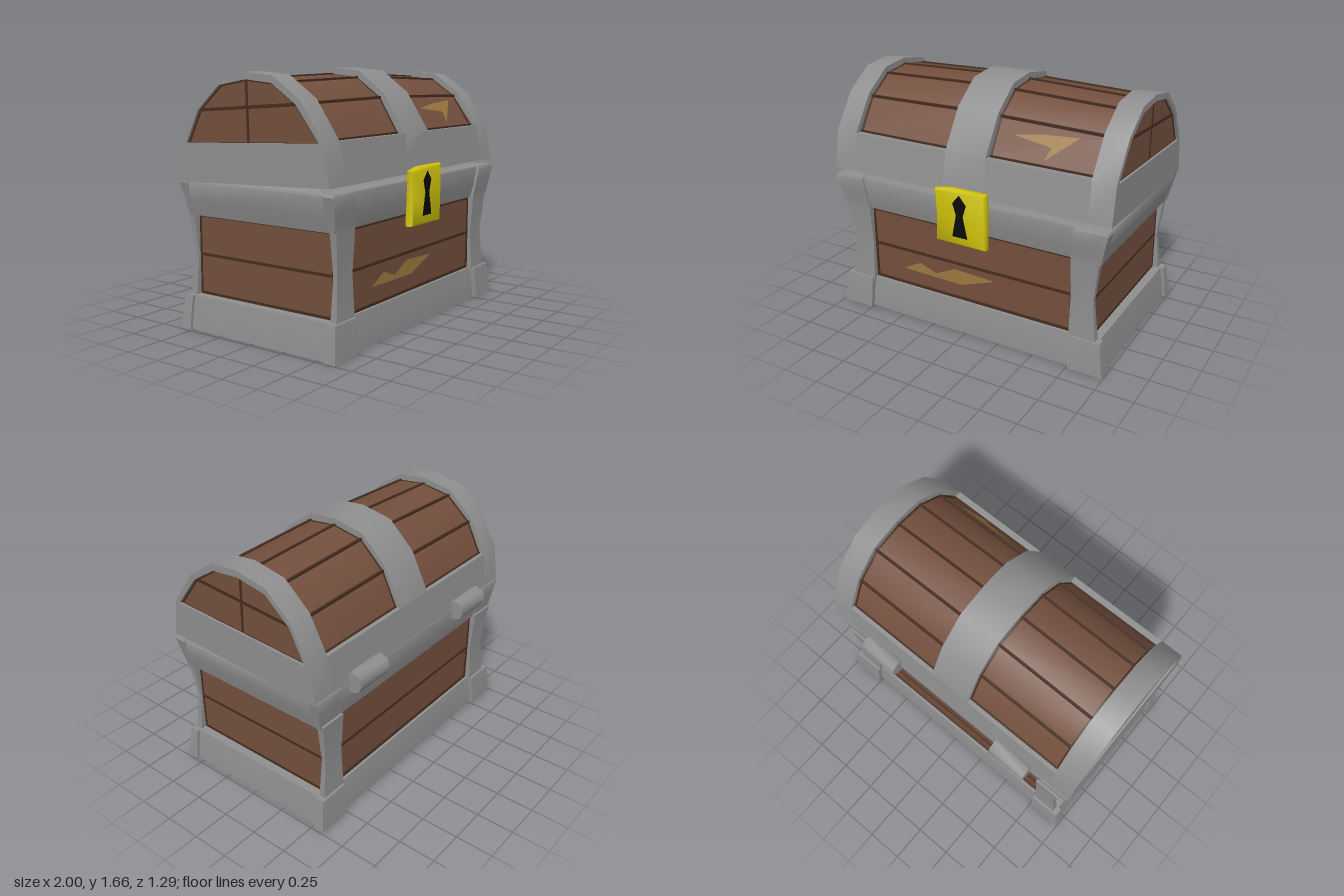
import * as THREE from 'three';
import { toCreasedNormals } from 'three/addons/utils/BufferGeometryUtils.js';

const mat = (color) => new THREE.MeshStandardMaterial({ color });

export function createModel() {
  const metal = mat(0x8e8e8e), wood = mat(0x734f3d), seam = mat(0x452c20);
  const gold = mat(0xd0c40c), black = mat(0x0a0a0a), scratch = mat(0x9c783f);
  const model = new THREE.Group();
  const base = new THREE.Group();
  base.name = 'base';
  base.position.z = 0.02;
  const lid = new THREE.Group();
  lid.name = 'lid';
  model.add(base, lid);

  const add = (parent, name, geo, material) => {
    const mesh = new THREE.Mesh(geo, material);
    mesh.name = name;
    parent.add(mesh);
    return mesh;
  };
  const box = (parent, name, material, size, pos) =>
    add(parent, name, new THREE.BoxGeometry(...size), material).position.set(...pos);

  // Stack of rectangles [y, x0, x1, z0, z1], bottom to top
  const loft = (rows) => {
    const pos = [], idx = [];
    for (const [y, x0, x1, z0, z1] of rows) pos.push(x0, y, z1, x1, y, z1, x1, y, z0, x0, y, z0);
    for (let r = 0; r < rows.length - 1; r++) {
      for (let k = 0; k < 4; k++) {
        const a = r * 4 + k, b = r * 4 + (k + 1) % 4;
        idx.push(a, b, b + 4, a, b + 4, a + 4);
      }
    }
    const t = (rows.length - 1) * 4;
    idx.push(0, 2, 1, 0, 3, 2, t, t + 1, t + 2, t, t + 2, t + 3);
    const g = new THREE.BufferGeometry();
    g.setAttribute('position', new THREE.Float32BufferAttribute(pos, 3));
    g.setIndex(idx);
    return toCreasedNormals(g, 0.7);
  };

  // ---- Base: wooden body, rails, inner lip ----
  const ring = (y, x, z) => [y, -x, x, -z, z];
  add(base, 'body', loft([ring(0.1, 0.88, 0.525), ring(0.85, 0.88, 0.535)]), wood);
  add(base, 'bottomRail', loft([ring(0, 0.97, 0.58), ring(0.1, 0.96, 0.575), ring(0.22, 0.94, 0.555)]), metal);
  add(base, 'topRail', loft([ring(0.74, 0.935, 0.55), ring(0.83, 0.96, 0.572), ring(0.95, 0.985, 0.583), ring(0.96, 0.98, 0.58)]), metal);
  add(base, 'innerLip', loft([ring(0.95, 0.95, 0.5), ring(0.992, 0.92, 0.45)]), metal);

  // ---- Corners: feet, posts and caps ----
  const cornerParts = {
    foot: [[0, 0.76, 0.99, 0.53, 0.61], [0.18, 0.75, 0.968, 0.53, 0.596], [0.22, 0.75, 0.96, 0.53, 0.59]],
    cornerPost: [[0.2, 0.745, 0.925, 0.53, 0.575], [0.48, 0.745, 0.895, 0.53, 0.558], [0.76, 0.745, 0.93, 0.53, 0.578]],
    cornerCap: [[0.74, 0.745, 0.94, 0.53, 0.575], [0.86, 0.76, 0.967, 0.53, 0.593], [0.95, 0.77, 0.99, 0.52, 0.605], [0.965, 0.775, 0.982, 0.52, 0.598]],
  };
  for (const [name, rows] of Object.entries(cornerParts)) {
    for (const sx of [1, -1]) for (const sz of [1, -1]) {
      // Caps sit closer to the rail at the back
      const inset = sz < 0 && name === 'cornerCap' ? 0.016 : 0;
      const placed = rows.map(([y, x0, x1, z0, z1]) => [y,
        Math.min(sx * x0, sx * x1), Math.max(sx * x0, sx * x1),
        Math.min(sz * z0, sz * (z1 - inset)), Math.max(sz * z0, sz * (z1 - inset))]);
      add(base, name, loft(placed), metal);
    }
  }

  // Dark plank gaps and panel borders
  for (const s of [1, -1]) {
    for (const y of [0.228, 0.48, 0.732]) {
      box(base, 'plankSeam', seam, [1.49, 0.018, 0.03], [0, y, s * 0.522]);
      box(base, 'plankSeam', seam, [0.03, 0.018, 1.06], [s * 0.868, y, 0]);
    }
    for (const t of [1, -1]) {
      box(base, 'panelBorder', seam, [0.014, 0.52, 0.03], [t * 0.738, 0.48, s * 0.522]);
      box(base, 'panelBorder', seam, [0.03, 0.52, 0.014], [s * 0.868, 0.48, t * 0.523]);
    }
  }

  // Flat polygon facing +z
  const flat = (pts) => new THREE.ShapeGeometry(new THREE.Shape(pts.map((p) => new THREE.Vector2(...p))));
  add(base, 'bodyScratch', flat([[-0.51, 0.34], [-0.375, 0.41], [-0.25, 0.365], [-0.1, 0.435], [0.2, 0.42], [-0.05, 0.33]]), scratch)
    .position.z = 0.537;

  // ---- Lid: profiles as [z, y] from front to back ----
  const outer = [[0.605, 1.0], [0.56, 1.25], [0.4, 1.48], [0.205, 1.613], [0, 1.632], [-0.22, 1.592], [-0.4, 1.435], [-0.525, 1.2], [-0.56, 0.955]];
  const inner = [[0.505, 1.25], [0.37, 1.455], [0.195, 1.57], [0, 1.59], [-0.21, 1.555], [-0.385, 1.405], [-0.49, 1.2]];
  const endPanel = [[0.53, 1.245], ...inner.slice(1)];
  const scaled = (pts, k) => pts.map(([z, y]) => [z * k, 1.3 + (y - 1.3) * k]);

  // Lid roof rises gently toward the middle
  const crown = (g) => {
    const p = g.attributes.position;
    for (let i = 0; i < p.count; i++) {
      const lift = THREE.MathUtils.clamp((p.getY(i) - 1.25) / 0.35, 0, 1);
      p.setY(i, p.getY(i) + 0.032 * (1 - Math.abs(p.getX(i))) * lift);
    }
    return toCreasedNormals(g, 0.6);
  };
  // Extrude a [z, y] outline from x0 to x1
  const toVec = (pts) => pts.map(([z, y]) => new THREE.Vector2(-z, y));
  const slab = (pts, x0, x1, hole) => {
    const shape = new THREE.Shape(toVec(pts));
    if (hole) shape.holes.push(new THREE.Path(toVec(hole).reverse()));
    const g = new THREE.ExtrudeGeometry(shape, { depth: x1 - x0, bevelEnabled: false });
    return crown(g.rotateY(Math.PI / 2).translate(x0, 0, 0));
  };
  const lidSlab = (name, material, pts, x0, x1, hole) => {
    for (const s of [1, -1]) add(lid, name, s > 0 ? slab(pts, x0, x1, hole) : slab(pts, -x1, -x0, hole), material);
  };

  add(lid, 'lidBand', slab([outer[0], outer[1], outer[7], outer[8]], -0.85, 0.85), metal);
  add(lid, 'middleStrap', slab(outer, -0.145, 0.145), metal);
  lidSlab('endArch', metal, outer, 0.845, 1, endPanel);
  lidSlab('lidPlanks', wood, inner, 0.1, 0.9);
  lidSlab('endPlanks', wood, endPanel, 0.86, 0.98);
  lidSlab('lidPanelBorder', seam, scaled(inner, 1.006), 0.14, 0.157);
  lidSlab('lidPanelBorder', seam, scaled(inner, 1.006), 0.83, 0.85);
  lidSlab('endPanelBorder', seam, endPanel, 0.96, 0.984, scaled(endPanel, 0.965));
  for (const [z, y] of inner) {
    const d = 0.008;
    lidSlab('lidSeam', seam, [[z - d, y - d], [z - d, y + d], [z + d, y + d], [z + d, y - d]], 0.14, 0.85);
  }
  lidSlab('endSeam', seam, [[0.36, 1.463], [0.37, 1.443], [-0.385, 1.393], [-0.375, 1.413]], 0.96, 0.984);
  lidSlab('endSeam', seam, [[0.012, 1.225], [0, 1.588], [-0.016, 1.585], [-0.004, 1.225]].reverse(), 0.96, 0.984);

  // Scratch lying on the lowest front plank of the lid
  const lidScratch = flat([[0.265, 1.39], [0.535, 1.355], [0.51, 1.285], [0.7, 1.43], [0.45, 1.415]]);
  const sp = lidScratch.attributes.position;
  for (let i = 0; i < sp.count; i++) sp.setZ(i, 0.521 - (sp.getY(i) - 1.25) * 0.64);
  lidScratch.computeVertexNormals();
  add(lid, 'lidScratch', lidScratch, scratch);

  // ---- Hinges ----
  for (const s of [1, -1]) {
    const hinge = new THREE.CylinderGeometry(0.07, 0.07, 0.28, 8).rotateZ(Math.PI / 2);
    add(model, 'hinge', toCreasedNormals(hinge, 0.9), metal).position.set(s * 0.55, 0.96, -0.578);
  }

  // ---- Lock plate with keyhole ----
  const plate = [[-0.172, 0.678], [0.17, 0.675], [0.175, 0.85], [0.175, 1.03], [-0.08, 1.028], [-0.175, 1.01], [-0.165, 0.84]];
  const plateGeo = new THREE.ExtrudeGeometry(new THREE.Shape(plate.map((p) => new THREE.Vector2(...p))),
    { depth: 0.035, bevelSize: 0.011, bevelThickness: 0.01, bevelSegments: 1 });
  add(model, 'lockPlate', toCreasedNormals(plateGeo, 0.9), gold).position.z = 0.596;
  const half = [[0.05, 0.95], [0.025, 0.87], [0.056, 0.722]];
  const keyhole = [...half.map(([x, y]) => [-x, y]), ...half.slice().reverse(), [0, 1.01]];
  add(model, 'keyhole', flat(keyhole), black).position.z = 0.643;

  return model;
}
